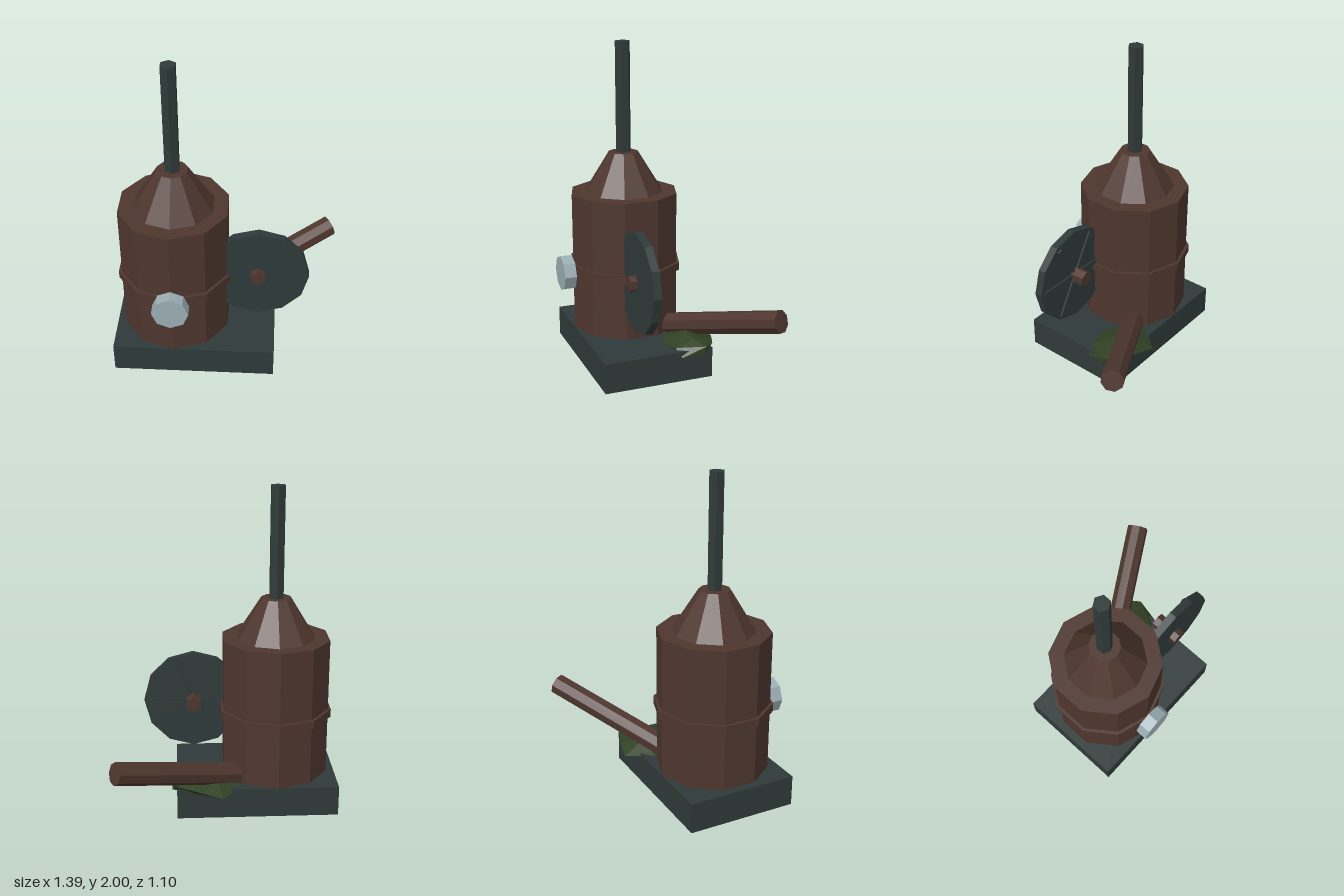
import * as THREE from 'three';
import { ConvexGeometry } from 'three/addons/geometries/ConvexGeometry.js';

function paint(name, color) {
  const m = new THREE.MeshStandardMaterial({ color, flatShading: true });
  m.name = name;
  return m;
}

export function createModel() {
  const model = new THREE.Group();
  model.name = 'steamEngine';
  const iron = paint('dark iron', 0x2f3939);
  const rust = paint('rusty brown', 0x4e362e);
  const glass = paint('pale steel', 0x9aadb3);
  const moss = paint('moss green', 0x2f4022);

  function add(name, geometry, material, x, y, z, parent = model) {
    const mesh = new THREE.Mesh(geometry, material);
    mesh.name = name;
    mesh.position.set(x, y, z);
    parent.add(mesh);
    return mesh;
  }
  const cyl = (top, bottom, h, sides) => new THREE.CylinderGeometry(top, bottom, h, sides);

  // Base slab
  add('base', new THREE.BoxGeometry(1, 0.19, 0.687), iron, -0.2, 0.095, 0.122);

  // Boiler with its band, cone and chimney share one axis
  const bx = -0.325, bz = 0.123;
  add('boiler', cyl(0.342, 0.342, 0.875, 10), rust, bx, 0.6275, bz);
  add('boilerBand', cyl(0.361, 0.361, 0.05, 10), rust, bx, 0.59, bz);
  add('boilerCone', cyl(0.094, 0.25, 0.25, 10), rust, bx, 1.19, bz);
  add('chimney', cyl(0.048, 0.048, 0.72, 6), iron, bx, 1.64, bz);

  // Pressure gauge on the boiler front
  add('gauge', cyl(0.111, 0.111, 0.075, 8), glass, bx, 0.565, 0.5125).rotation.x = Math.PI / 2;

  // Flywheel: solid disc, raised bars on its back, axle through the middle
  const wheel = new THREE.Group();
  wheel.name = 'flywheel';
  wheel.position.set(0.188, 0.627, 0.21);
  model.add(wheel);
  add('wheelDisc', cyl(0.312, 0.312, 0.05, 12), iron, 0, 0, 0, wheel).rotation.x = Math.PI / 2;
  for (let i = 0; i < 3; i++) {
    add('wheelBar', new THREE.BoxGeometry(0.57, 0.03, 0.03), iron, 0, 0, -0.022, wheel)
      .rotation.z = i * Math.PI / 3;
  }
  add('axle', cyl(0.05, 0.05, 0.187, 6), rust, 0, 0, -0.0245, wheel).rotation.x = Math.PI / 2;

  // Slanting pipe leaving the back of the boiler
  const start = new THREE.Vector3(-0.1, 0.22, -0.06);
  const end = new THREE.Vector3(0.655, 0.45, -0.495);
  const dir = end.clone().sub(start);
  const mid = start.clone().add(end).multiplyScalar(0.5);
  add('pipe', cyl(0.07, 0.07, dir.length(), 8), rust, mid.x, mid.y, mid.z)
    .quaternion.setFromUnitVectors(new THREE.Vector3(0, 1, 0), dir.normalize());

  // Flattened clump of moss under the pipe
  const mossPoints = [
    [0.02, 0.17, -0.305], [0.15, 0.2, -0.28], [0.29, 0.215, -0.225], [0.33, 0.215, -0.17],
    [0.33, 0.165, -0.15], [0.31, 0.155, -0.02], [0.25, 0.2, 0], [0.13, 0.19, 0.03],
    [0, 0.18, 0.01], [-0.1, 0.19, -0.15], [0.14, 0.255, -0.11], [0.05, 0.235, -0.17],
    [0.24, 0.235, -0.12], [0.1, 0.145, -0.2], [0.22, 0.145, -0.12],
  ].map((p) => new THREE.Vector3(...p));
  add('mossClump', new ConvexGeometry(mossPoints), moss, 0, 0, 0);

  return model;
}
